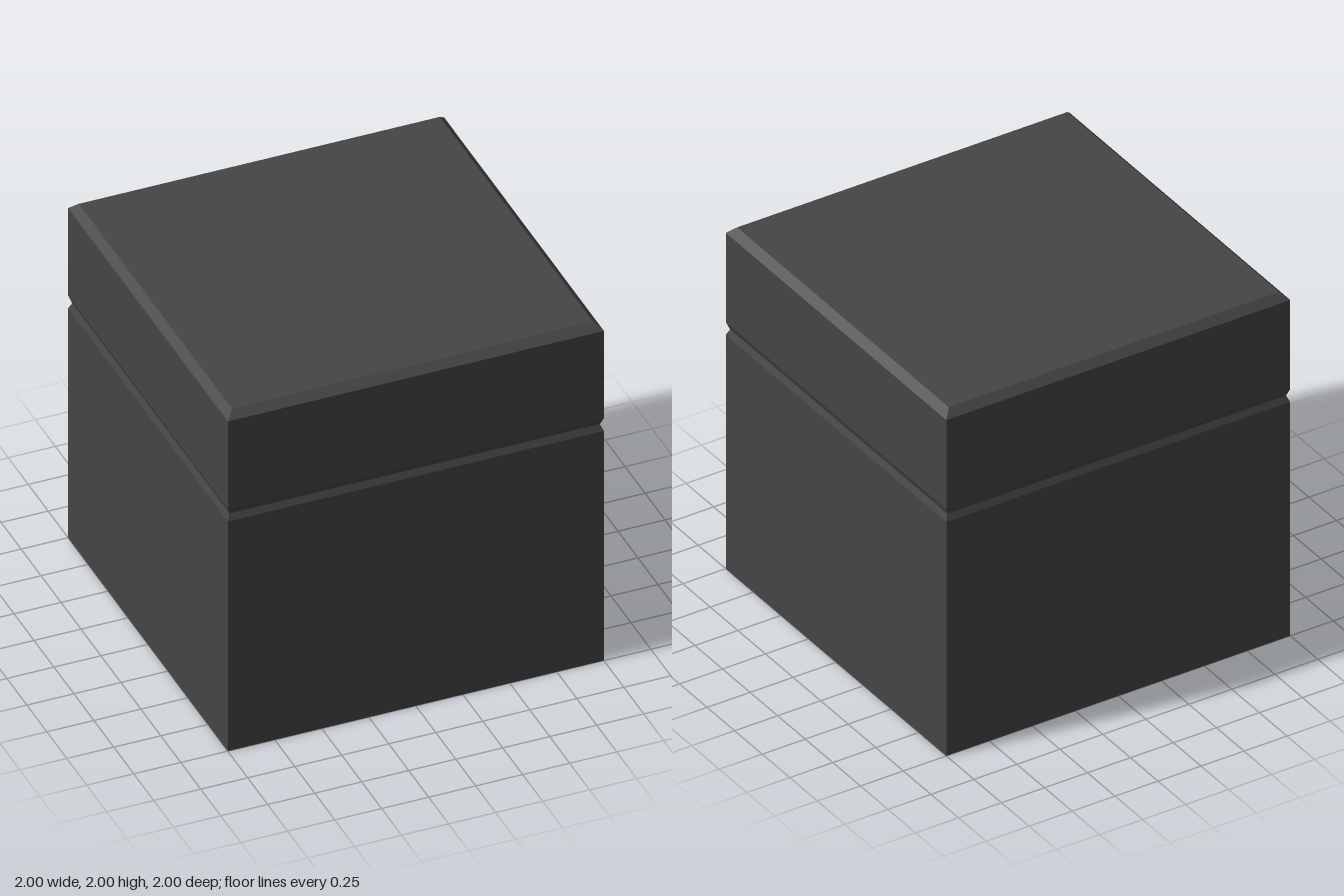
import * as THREE from 'three';

const darkGrey = new THREE.MeshStandardMaterial({ color: 0x454545 });
darkGrey.name = 'darkGrey';

// Square shell from a [half width, height] profile running bottom to top
function squareShell(name, profile) {
  const points = profile.map(([half, y]) => new THREE.Vector2(half * Math.SQRT2, y));
  const geometry = new THREE.LatheGeometry(points, 4, Math.PI / 4).toNonIndexed();
  geometry.computeVertexNormals(); // crisp flat faces
  const mesh = new THREE.Mesh(geometry, darkGrey);
  mesh.name = name;
  return mesh;
}

export function createModel() {
  const group = new THREE.Group();
  group.name = 'liddedBox';

  // Box body, bevelled inward at the seam
  group.add(squareShell('body', [[0, 0], [1, 0], [1, 1.365], [0.985, 1.4]]));

  // Lid, bevelled at the seam and around the top
  group.add(squareShell('lid', [[0.985, 1.4], [1, 1.44], [1, 1.96], [0.96, 2], [0, 2]]));

  return group;
}
